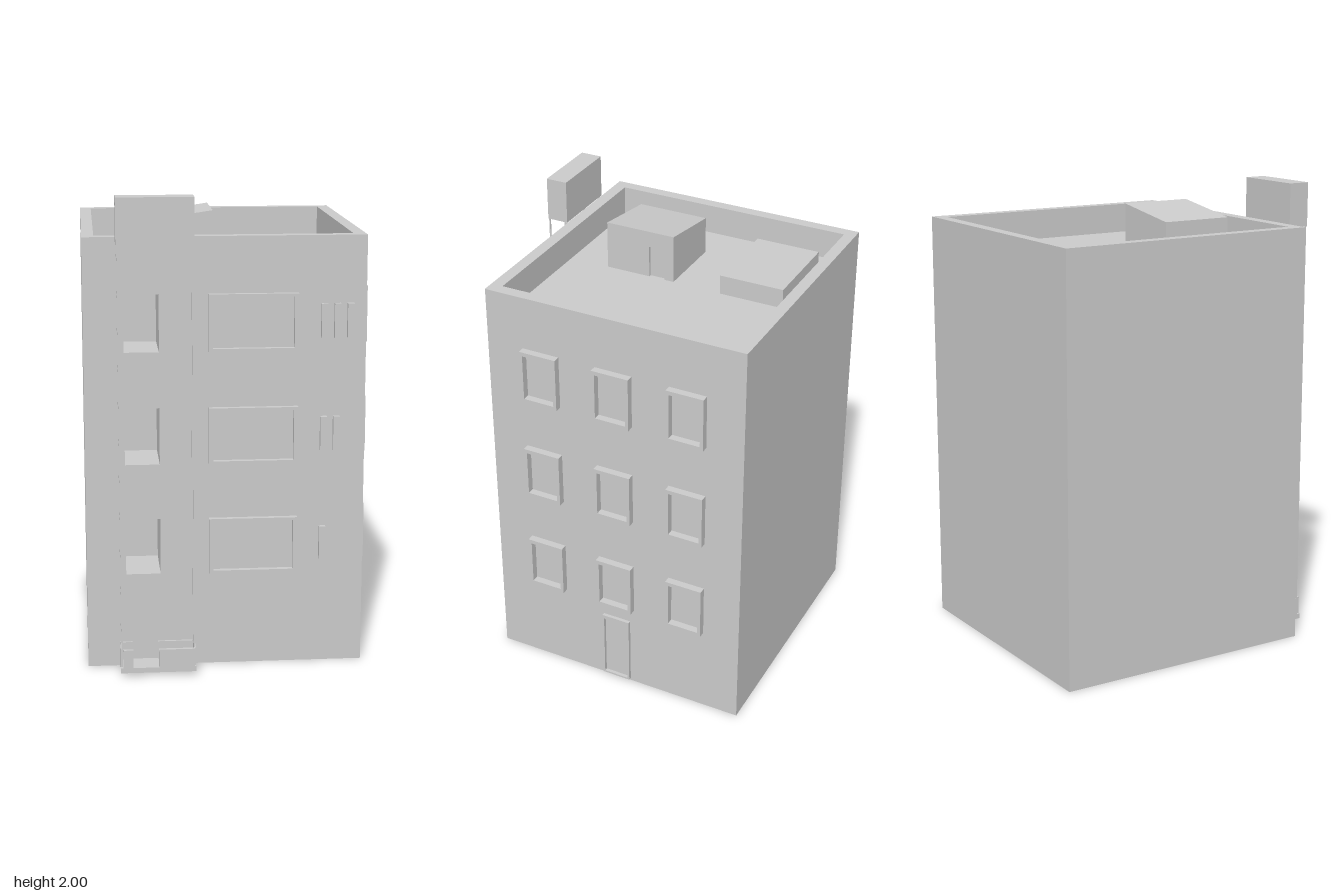
import * as THREE from 'three';

const material = new THREE.MeshStandardMaterial({ color: 0xcccccc, flatShading: true });

export function createModel() {
  const model = new THREE.Group();
  model.name = 'apartmentBuilding';

  const add = (name, geometry, parent = model) => {
    const mesh = new THREE.Mesh(geometry, material);
    mesh.name = name;
    parent.add(mesh);
    return mesh;
  };
  // Box given by its limits on each axis
  const box = (name, [x0, x1], [y0, y1], [z0, z1], parent) => {
    const mesh = add(name, new THREE.BoxGeometry(x1 - x0, y1 - y0, z1 - z0), parent);
    mesh.position.set((x0 + x1) / 2, (y0 + y1) / 2, (z0 + z1) / 2);
    return mesh;
  };
  const polygon = (points) => new THREE.Shape(points.map(([x, y]) => new THREE.Vector2(x, y)));
  const rect = (x0, x1, y0, y1) => polygon([[x0, y0], [x1, y0], [x1, y1], [x0, y1]]);
  // Shape with optional holes, extruded along z
  const slab = (shape, z0, z1, holes = []) => {
    shape.holes.push(...holes);
    const geometry = new THREE.ExtrudeGeometry(shape, { depth: z1 - z0, bevelEnabled: false });
    return geometry.translate(0, 0, z0);
  };

  const left = 0.567, right = -0.6, front = 0.517, back = -0.65;
  const roof = 1.7, top = 1.83;
  const floors = [0.405, 0.88, 1.355];
  const windowHeight = 0.24;

  // Main block, with a front layer holding the deep lift openings
  const recess = 0.25;
  box('mainBlock', [right, left], [0, roof], [back, front - recess]);
  const openings = floors.map((y) => rect(-0.435, -0.29, y, y + windowHeight));
  add('frontWall', slab(rect(right, left, 0, roof), front - recess, front, openings));

  // Parapet ring around the sunken roof
  const ring = slab(rect(right, left, -front, -back), roof, top, [rect(-0.55, 0.515, -0.465, 0.6)]);
  add('parapet', ring.rotateX(-Math.PI / 2));

  // Low roof housing and the sloped stair hut with its door niche
  box('roofHousing', [-0.43, -0.045], [roof, 1.785], [-0.535, -0.25]);
  const hut = new THREE.Group();
  hut.name = 'stairHut';
  model.add(hut);
  const hutProfile = [[-0.365, roof], [-0.05, roof], [-0.05, 1.91], [-0.365, 1.863]];
  const nicheProfile = [[-0.365, roof], [-0.062, roof], [-0.062, 1.84], [-0.05, 1.84],
    [-0.05, 1.91], [-0.365, 1.863]];
  add('hutRear', slab(polygon(hutProfile), -0.03, 0.012), hut);
  add('hutDoorNiche', slab(polygon(nicheProfile), 0.012, 0.085), hut);
  add('hutFront', slab(polygon(hutProfile), 0.085, 0.285), hut);

  // Wide windows and floor-marking bars on the front
  floors.forEach((y, i) => {
    const y1 = y + windowHeight;
    add('frontWindowFrame', slab(rect(-0.086, 0.285, y, y1), front, 0.541,
      [rect(-0.069, 0.267, y + 0.014, y1 - 0.012)]));
    for (let n = 0; n <= i; n++) {
      const x = 0.379 + n * 0.054;
      box('floorBar', [x, x + 0.027], [y + 0.05, y + 0.195], [front, 0.537]);
    }
  });

  // Windows and door on the side; frames are drawn facing +z, then turned to +x
  const sideFrame = (name, z0, z1, y0, y1, depth, inner) => {
    const frame = slab(rect(-z1, -z0, y0, y1), left, left + depth, [inner]);
    add(name, frame.rotateY(Math.PI / 2));
  };
  for (const y of floors) {
    for (const z of [-0.484, -0.15, 0.184]) {
      const z1 = z + 0.167, y1 = y + windowHeight;
      sideFrame('sideWindowFrame', z, z1, y, y1, 0.032,
        rect(-z1 + 0.014, -z - 0.014, y + 0.018, y1 - 0.018));
    }
  }
  sideFrame('doorFrame', -0.13, 0, 0.012, 0.337, 0.015, rect(0.008, 0.122, 0.02, 0.32));

  // Outside lift: motor housing, four guide rails and a cabin tray
  const lift = new THREE.Group();
  lift.name = 'outsideLift';
  model.add(lift);
  box('liftHousing', [-0.465, -0.15], [1.81, 2], [0.54, 0.635], lift);
  for (const x of [-0.462, -0.159]) {
    for (const z of [0.549, 0.627]) {
      box('guideRail', [x, x + 0.006], [0.035, 1.81], [z, z + 0.006], lift);
    }
  }
  box('trayFloor', [-0.465, -0.15], [0.015, 0.037], [0.54, 0.65], lift);
  for (const x of [-0.465, -0.158]) {
    box('traySide', [x, x + 0.008], [0.037, 0.115], [0.54, 0.635], lift);
  }
  for (const [z0, z1] of [[0.54, 0.55], [0.635, 0.65]]) {
    box('trayShortPanel', [-0.455, -0.413], [0.037, 0.115], [z0, z1], lift);
    box('trayLongPanel', [-0.305, -0.155], [0.037, 0.115], [z0, z1], lift);
  }

  return model;
}
